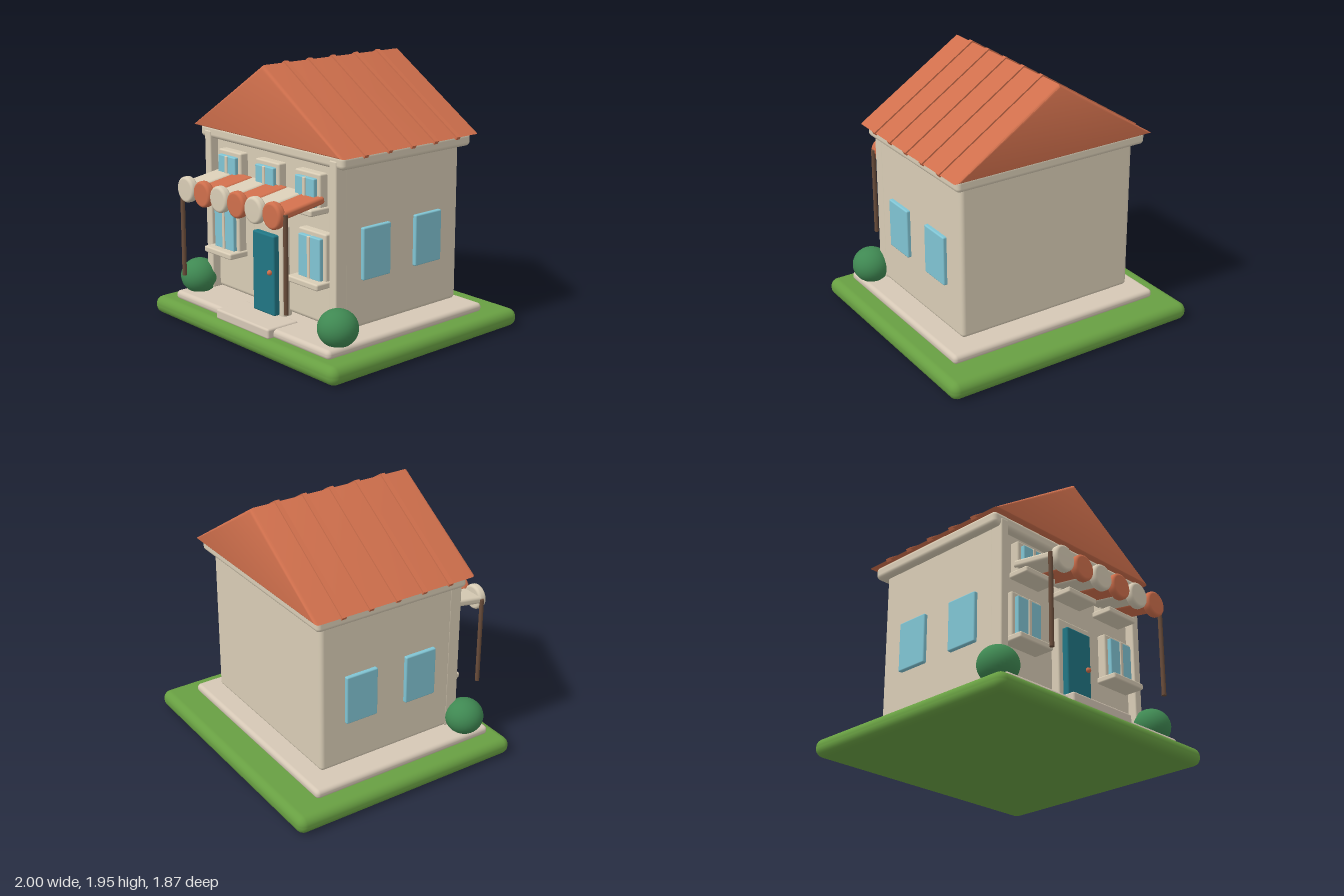
import * as THREE from 'three';
import { RoundedBoxGeometry } from 'three/addons/geometries/RoundedBoxGeometry.js';
import { toCreasedNormals } from 'three/addons/utils/BufferGeometryUtils.js';

function material(name, color) {
  const m = new THREE.MeshStandardMaterial({ color });
  m.name = name;
  return m;
}

export function createModel() {
  const model = new THREE.Group();
  model.name = 'house';

  const stucco = material('stucco', 0xd8ccb5);
  const stone = material('stone', 0xd5c7b5);
  const terracotta = material('terracotta', 0xcf6f4c);
  const grass = material('grass', 0x689f42);
  const glass = material('glass', 0x80c4d3);
  const teal = material('teal door', 0x217684);
  const wood = material('dark wood', 0x694c3a);
  const leaf = material('leaf', 0x3f8852);

  function add(name, geometry, mat, x = 0, y = 0, z = 0, parent = model) {
    const mesh = new THREE.Mesh(geometry, mat);
    mesh.name = name;
    mesh.position.set(x, y, z);
    parent.add(mesh);
    return mesh;
  }

  // Rounded box given by its extents on each axis
  function block(name, mat, [x0, x1], [y0, y1], [z0, z1], r = 0.01, parent = model) {
    const geo = new RoundedBoxGeometry(x1 - x0, y1 - y0, z1 - z0, 3, r);
    return add(name, geo, mat, (x0 + x1) / 2, (y0 + y1) / 2, (z0 + z1) / 2, parent);
  }

  // Ground and base
  block('lawn', grass, [-1, 1], [0, 0.13], [-0.933, 0.867], 0.06);
  block('plinth', stone, [-0.85, 0.85], [0.12, 0.187], [-0.705, 0.77], 0.03);
  block('doorStep', stone, [-0.29, 0.29], [0.125, 0.198], [0.55, 0.818], 0.015);

  // Walls, corner pilasters and cornice
  block('walls', stucco, [-0.705, 0.705], [0.217, 1.4], [-0.577, 0.512], 0.03);
  block('cornice', stucco, [-0.765, 0.765], [1.335, 1.428], [-0.637, 0.572], 0.03);
  for (const s of [-1, 1]) {
    block('pilaster', stucco, [s * 0.672 - 0.034, s * 0.672 + 0.034], [0.217, 1.39], [0.48, 0.578], 0.01);
  }

  // Gable roof with rounded edges
  const half = 0.8, eave = 1.42, ridge = 1.936, bevel = 0.025;
  const gable = new THREE.Shape([
    new THREE.Vector2(-half, eave),
    new THREE.Vector2(half, eave),
    new THREE.Vector2(0, ridge),
  ]);
  const roofGeo = new THREE.ExtrudeGeometry(gable, {
    depth: 1.285 - 2 * bevel, bevelEnabled: true, bevelThickness: bevel,
    bevelSize: bevel, bevelOffset: -bevel, bevelSegments: 4,
  });
  add('roof', toCreasedNormals(roofGeo, 0.5), terracotta, 0, 0, -0.672 + bevel);

  // Raised ribs over both slopes
  const slope = Math.atan2(ridge - eave, half);
  const ribLength = Math.hypot(half, ridge - eave) + 0.01;
  for (let i = 0; i < 5; i++) {
    for (const s of [-1, 1]) {
      const rib = add('roofRib', new THREE.BoxGeometry(ribLength, 0.025, 0.036), terracotta,
        s * half / 2, (ridge + eave) / 2 - 0.002, 0.4 - i * 0.215);
      rib.rotation.z = -s * slope;
    }
  }

  // Front windows: frame, pane, mullion and sill
  function frontWindow(x, w, y0, y1) {
    const g = new THREE.Group();
    g.name = 'frontWindow';
    g.position.x = x;
    model.add(g);
    const h = w / 2;
    block('windowFrame', stucco, [-h, h], [y0, y1], [0.49, 0.575], 0.012, g);
    block('windowPane', glass, [-h + 0.03, h - 0.03], [y0 + 0.03, y1 - 0.032], [0.54, 0.604], 0.008, g);
    block('mullion', stucco, [-0.014, 0.014], [y0 + 0.03, y1 - 0.032], [0.55, 0.612], 0.006, g);
    block('windowSill', stucco, [-h - 0.015, h + 0.015], [y0 - 0.01, y0 + 0.035], [0.5, 0.668], 0.012, g);
  }
  for (const x of [-0.42, 0, 0.42]) frontWindow(x, 0.255, 1.018, 1.278);
  for (const x of [-0.465, 0.465]) frontWindow(x, 0.28, 0.525, 0.882);

  // Side windows
  for (const s of [-1, 1]) {
    for (const z of [0.228, -0.26]) {
      block('sideWindow', glass, [s * 0.708 - 0.025, s * 0.708 + 0.025], [0.55, 0.913], [z - 0.126, z + 0.126], 0.01);
    }
  }

  // Front door
  block('doorFrame', stucco, [-0.158, 0.158], [0.19, 0.84], [0.49, 0.575], 0.012);
  block('door', teal, [-0.117, 0.117], [0.198, 0.775], [0.55, 0.62], 0.012);
  add('doorKnob', new THREE.SphereGeometry(0.019, 16, 12), terracotta, 0.08, 0.51, 0.628);

  // Striped awning with a round scallop at the end of each stripe
  const profile = [new THREE.Vector2(0, -0.031)];
  for (const [side, start] of [[-1, -Math.PI / 2], [1, 0]]) {
    for (let i = 0; i <= 4; i++) {
      const a = start + (i / 4) * Math.PI / 2;
      profile.push(new THREE.Vector2(0.072 + 0.02 * Math.cos(a), side * 0.011 + 0.02 * Math.sin(a)));
    }
  }
  profile.push(new THREE.Vector2(0, 0.031));
  const scallopGeo = new THREE.LatheGeometry(profile, 32).rotateX(Math.PI / 2);
  const stripeGeo = new RoundedBoxGeometry(0.186, 0.054, 0.36, 3, 0.02);
  for (let i = 0; i < 6; i++) {
    const x = (i - 2.5) * 0.188;
    const mat = i % 2 ? terracotta : stucco;
    add('awningStripe', stripeGeo, mat, x, 1.079, 0.72).rotation.x = 0.15;
    add('awningScallop', scallopGeo, mat, x, 1.046, 0.902);
  }

  // Awning posts and round bushes
  for (const s of [-1, 1]) {
    add('awningPost', new THREE.CylinderGeometry(0.016, 0.016, 0.67, 12), wood, s * 0.565, 0.73, 0.884);
    add('bush', new THREE.SphereGeometry(0.139, 32, 20), leaf, s * 0.763, 0.29, 0.61).scale.y = 0.94;
  }

  return model;
}
